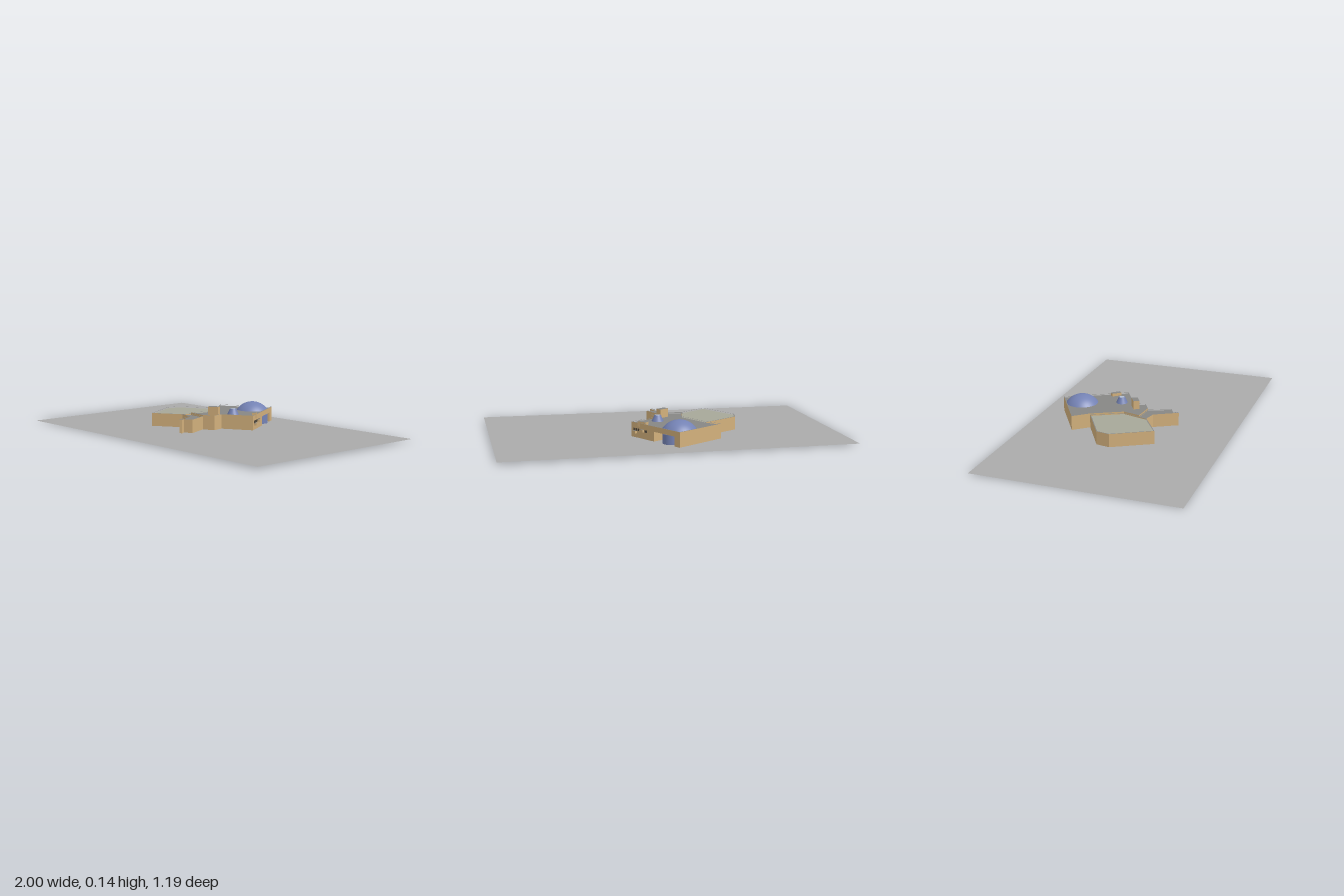
import * as THREE from 'three';

const paint = (color, extra = {}) => new THREE.MeshStandardMaterial({ color, ...extra });
const BASE = 0.01;      // height of the paved floor
const TURN = 0.534;     // heading of the main block: local z runs along its east wall
const CORNER = [0, -0.478];                              // north corner of the main block
const ALONG = [Math.sin(TURN), Math.cos(TURN)];          // along the east wall
const OUT = [Math.cos(TURN), -Math.sin(TURN)];           // out of the east wall

// point on the plan: t along the east wall, d outwards from it
const wallPoint = (t, d = 0) => [
  CORNER[0] + ALONG[0] * t + OUT[0] * d,
  CORNER[1] + ALONG[1] * t + OUT[1] * d,
];

const toVectors = (plan) => plan.map(([x, z]) => new THREE.Vector2(x, -z));

// moves every side of a plan inwards by d
function inset(plan, d) {
  const p = toVectors(plan);
  const sign = THREE.ShapeUtils.area(p) > 0 ? 1 : -1;
  return p.map((v, i) => {
    const a = v.clone().sub(p[(i + p.length - 1) % p.length]).normalize();
    const b = p[(i + 1) % p.length].clone().sub(v).normalize();
    const na = new THREE.Vector2(-a.y, a.x).multiplyScalar(sign);
    const nb = new THREE.Vector2(-b.y, b.x).multiplyScalar(sign);
    const m = na.clone().add(nb);
    return v.clone().add(m.multiplyScalar(d / (1 + na.dot(nb))));
  });
}

function prism(name, plan, y0, y1, materials, hole) {
  const shape = new THREE.Shape(toVectors(plan));
  if (hole) shape.holes.push(new THREE.Path(hole));
  const geo = new THREE.ExtrudeGeometry(shape, { depth: y1 - y0, bevelEnabled: false });
  geo.rotateX(-Math.PI / 2).translate(0, y0, 0);
  const mesh = new THREE.Mesh(geo, materials);
  mesh.name = name;
  return mesh;
}

export function createModel() {
  const model = new THREE.Group();
  model.name = 'buildingOnPlot';
  const wall = paint(0xd2b07c);
  const roof = paint(0x868684);
  const hallRoof = paint(0xa6a798);
  const blue = paint(0x7482b4);
  const dark = paint(0x50483c);
  const pale = paint(0xb4c0d4);

  const add = (name, geo, mat, x, y, z, turn = 0) => {
    const mesh = new THREE.Mesh(geo, mat);
    mesh.name = name;
    mesh.position.set(x, y, z);
    mesh.rotation.y = turn;
    model.add(mesh);
    return mesh;
  };

  // Slightly tilted plot
  const plot = new THREE.PlaneGeometry(2, 1.2);
  [[-1, 0.005, -0.575], [0.985, 0.012, -0.6], [-0.99, 0, 0.593], [0.995, 0.013, 0.565]]
    .forEach((c, i) => plot.attributes.position.setXYZ(i, ...c));
  plot.computeVertexNormals();
  add('ground', plot, paint(0xaaaaaa, { side: THREE.DoubleSide }), 0, 0, 0);

  // A flat-roofed volume with a low parapet
  const block = (name, plan, y0, top, cap) => {
    model.add(prism(name, plan, y0, top - 0.007, [cap, wall]));
    model.add(prism(name + 'Parapet', plan, top - 0.007, top, [roof, wall], inset(plan, 0.005)));
  };

  // Main block: lower storey with an entrance niche, full upper storey above it
  const rest = [
    wallPoint(0.393), [0.035, -0.04], [0.05, 0.025], [-0.013, 0.06],
    [-0.135, 0.05], [-0.11, -0.05], [-0.205, -0.222], [-0.28, -0.305],
  ];
  const niche = [
    wallPoint(0.04), wallPoint(0.04, -0.075), wallPoint(0.205, -0.075), wallPoint(0.205),
  ];
  model.add(prism('mainLowerStorey', [CORNER, ...niche, ...rest], BASE, 0.065, [roof, wall]));
  block('mainUpperStorey', [CORNER, ...rest], 0.065, 0.095, roof);

  // Polygonal hall and front wing
  block('hall', [
    [-0.44, -0.013], [-0.425, -0.093], [-0.205, -0.222],
    [-0.11, -0.05], [-0.15, 0.1], [-0.31, 0.205],
  ], BASE, 0.087, hallRoof);
  block('frontWing', [
    [-0.135, 0.05], [-0.013, 0.06], [0.045, 0.185], [0, 0.21],
    [0.013, 0.235], [0, 0.245], [-0.077, 0.115], [-0.15, 0.1],
  ], BASE, 0.087, roof);

  // Rounded glazed entrance inside the niche
  const [ex, ez] = wallPoint(0.11, -0.045);
  add('entranceDrum', new THREE.CylinderGeometry(0.05, 0.05, 0.055, 32), blue, ex, 0.0375, ez);

  // Shallow dome
  const rim = 0.094, rise = 0.049;
  const radius = (rim * rim + rise * rise) / (2 * rise);
  add('dome',
    new THREE.SphereGeometry(radius, 40, 14, 0, Math.PI * 2, 0, Math.asin(rim / radius)),
    blue, -0.03, 0.137 - radius, -0.345);

  // Tapered roof light with a pale top
  add('roofLight', new THREE.CylinderGeometry(0.019, 0.034, 0.034, 24), blue, 0.045, 0.105, -0.123);
  add('roofLightGlass', new THREE.CylinderGeometry(0.015, 0.015, 0.002, 24), pale, 0.045, 0.1225, -0.123);

  // Rooftop tower and stair hut
  const box = (w, h, d, top = wall) =>
    [new THREE.BoxGeometry(w, h, d), [wall, wall, top, wall, wall, wall]];
  add('tower', ...box(0.062, 0.128, 0.035, roof), -0.005, 0.074, -0.019, TURN);
  add('stairHut', ...box(0.026, 0.03, 0.058, roof), 0.147, 0.09, -0.2, 0.75);

  // East wall: row of windows and two small balconies
  for (let i = 0; i < 6; i++) {
    const [x, z] = wallPoint(0.27 + i * 0.02);
    add('window', new THREE.BoxGeometry(0.004, 0.014, 0.012), dark, x, 0.056, z, TURN);
  }
  for (const [t, y] of [[0.36, 0.042], [0.3, 0.056]]) {
    const [x, z] = wallPoint(t, 0.006);
    add('balcony', ...box(0.016, 0.014, 0.026, roof), x, y, z, TURN);
  }
  return model;
}
